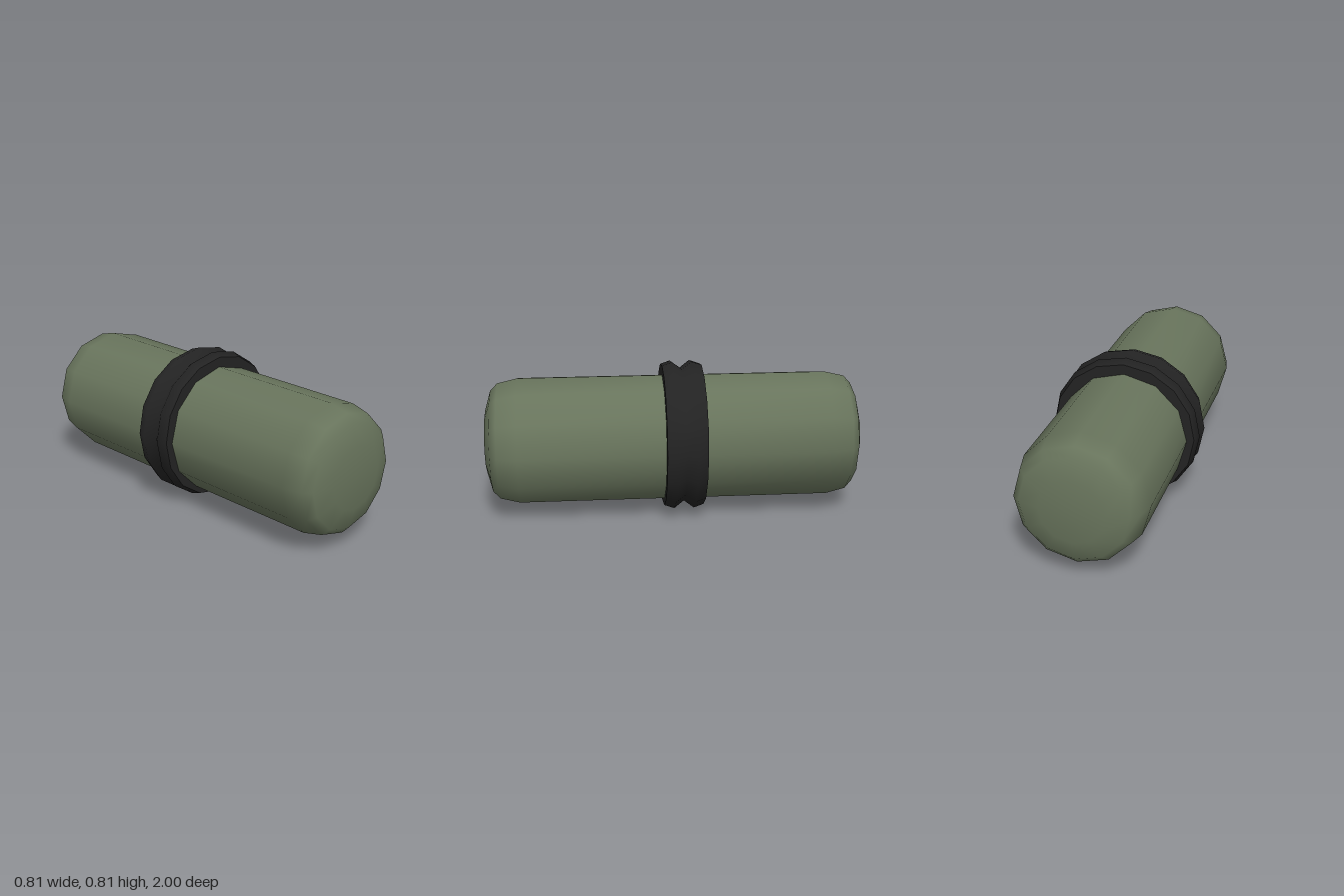
import * as THREE from 'three';
import { mergeVertices } from 'three/addons/utils/BufferGeometryUtils.js';

// Solid of revolution along z from [radius, z] pairs, back to front, smooth across the seam
function turned(profile, sides) {
  const lathe = new THREE.LatheGeometry(profile.map(([r, z]) => new THREE.Vector2(r, z)), sides);
  lathe.rotateX(Math.PI / 2);
  lathe.deleteAttribute('normal');
  lathe.deleteAttribute('uv');
  const geometry = mergeVertices(lathe, 1e-4);
  geometry.computeVertexNormals();
  return geometry;
}

export function createModel() {
  const model = new THREE.Group();
  const green = new THREE.MeshStandardMaterial({ name: 'olive green', color: 0x68745c });
  const black = new THREE.MeshStandardMaterial({ name: 'rubber black', color: 0x232323 });

  const add = (name, geometry, material, parent, x, y, z) => {
    const mesh = new THREE.Mesh(geometry, material);
    mesh.name = name;
    mesh.position.set(x, y, z);
    parent.add(mesh);
  };

  // Capsule-like body with rounded ends
  const end = [[0.342, 0.825], [0.317, 0.93], [0.278, 0.968], [0.168, 1], [0, 1]];
  const start = end.map(([r, z]) => [r, -z]).reverse();
  add('body', turned([...start, ...end], 12), green, model, -0.003, 0.393, 0);

  // Grooved band around the middle, with sharp flat sides
  const band = new THREE.Group();
  band.name = 'band';
  model.add(band);
  const tread = [[0.385, -0.106], [0.403, -0.053], [0.363, 0], [0.403, 0.053], [0.385, 0.106]];
  add('bandTread', turned(tread, 16), black, band, 0, 0.403, -0.051);
  add('bandFrontSide', turned([[0.385, 0.106], [0.28, 0.106]], 16), black, band, 0, 0.403, -0.051);
  add('bandBackSide', turned([[0.28, -0.106], [0.385, -0.106]], 16), black, band, 0, 0.403, -0.051);

  return model;
}
